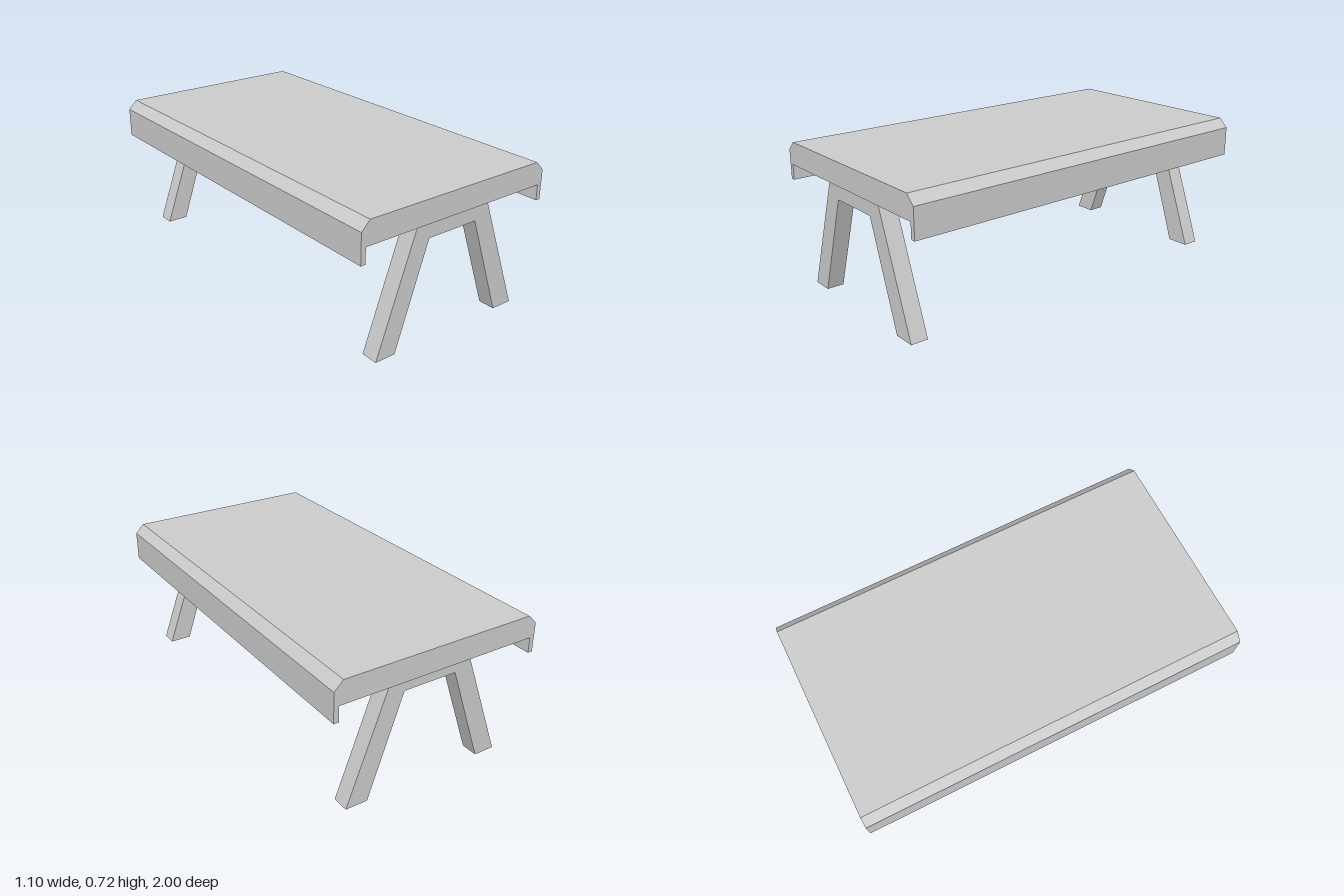
import * as THREE from 'three';

const material = new THREE.MeshStandardMaterial({ color: 0xcccccc, flatShading: true, side: THREE.DoubleSide });

function shapeOf(points) {
  return new THREE.Shape(points.map(([x, y]) => new THREE.Vector2(x, y)));
}

function addMesh(parent, name, geometry, z = 0) {
  const mesh = new THREE.Mesh(geometry, material);
  mesh.name = name;
  mesh.position.z = z;
  parent.add(mesh);
  return mesh;
}

// Walls that join each outline edge between z = 0 and z = depth, leaving out some edges
function edgeWalls(points, depth, skipped) {
  const positions = [];
  points.forEach(([ax, ay], i) => {
    if (skipped.includes(i)) return;
    const [bx, by] = points[(i + 1) % points.length];
    positions.push(ax, ay, 0, bx, by, 0, bx, by, depth);
    positions.push(ax, ay, 0, bx, by, depth, ax, ay, depth);
  });
  const geometry = new THREE.BufferGeometry();
  geometry.setAttribute('position', new THREE.Float32BufferAttribute(positions, 3));
  geometry.computeVertexNormals();
  return geometry;
}

export function createModel() {
  const model = new THREE.Group();
  model.name = 'table';

  // Table top: a thin folded shell with chamfered long edges and hanging lips
  const outer = [[0.55, 0.525], [0.55, 0.675], [0.505, 0.72]];
  const inner = [[0.495, 0.7], [0.525, 0.67], [0.525, 0.525]];
  const mirror = (points) => points.map(([x, y]) => [-x, y]).reverse();
  const shell = [...outer, ...mirror(outer), ...mirror(inner), ...inner];
  addMesh(model, 'tableTop',
    new THREE.ExtrudeGeometry(shapeOf(shell), { depth: 2, bevelEnabled: false }), -1);

  // Thin end panels closing the shell down to the top of the legs
  const panel = [[0.525, 0.603], [0.525, 0.67], [0.495, 0.7]];
  const panelShape = shapeOf([...panel, ...mirror(panel)]);
  addMesh(model, 'frontEndPanel', new THREE.ShapeGeometry(panelShape), 1);
  addMesh(model, 'backEndPanel', new THREE.ShapeGeometry(panelShape).rotateY(Math.PI), -1);

  // Splayed leg frames, hollow and open at the feet (edges 0 and 4)
  const frame = [
    [0.325, 0], [0.44, 0], [0.215, 0.603], [-0.207, 0.603],
    [-0.425, 0], [-0.315, 0], [-0.138, 0.515], [0.145, 0.515],
  ];
  const depth = 0.087;
  for (const [name, z] of [['frontLegFrame', 0.882], ['backLegFrame', -0.942]]) {
    const group = new THREE.Group();
    group.name = name;
    group.position.z = z;
    addMesh(group, 'legFrontFace', new THREE.ShapeGeometry(shapeOf(frame)), depth);
    addMesh(group, 'legBackFace', new THREE.ShapeGeometry(shapeOf(frame)).rotateY(Math.PI).scale(-1, 1, 1));
    addMesh(group, 'legSides', edgeWalls(frame, depth, [0, 4]));
    model.add(group);
  }
  return model;
}
